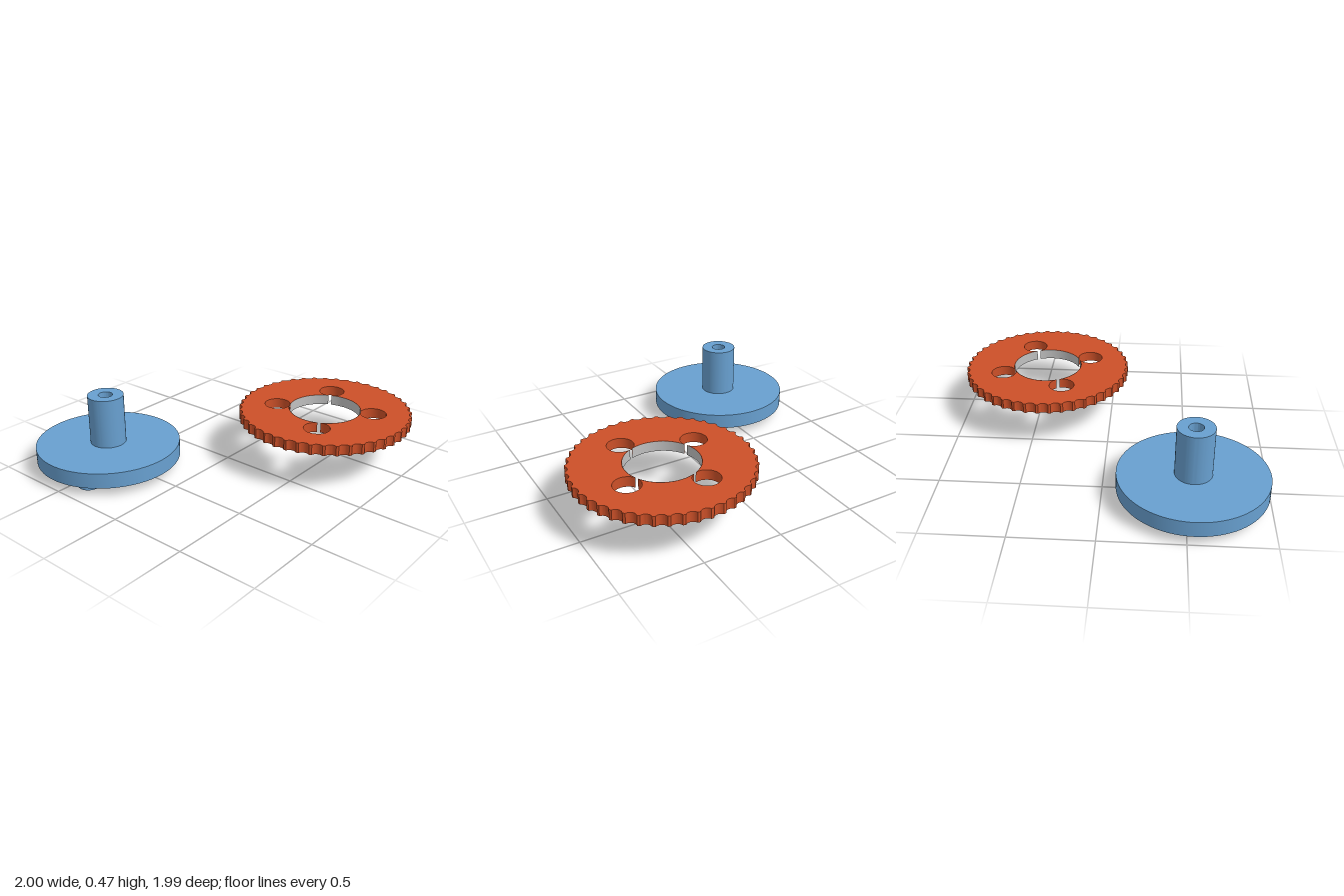
import * as THREE from 'three';
import { toCreasedNormals } from 'three/addons/utils/BufferGeometryUtils.js';

const BOLT = 0.311;        // radius of the bolt circle
const START = 0.422;       // angle of the first bolt, measured from +z towards +x
const QUARTER = Math.PI / 2;

const material = (name, color, extra = {}) =>
  Object.assign(new THREE.MeshStandardMaterial({ color, ...extra }), { name });

function mesh(name, geometry, mat, parent) {
  const m = new THREE.Mesh(geometry, mat);
  m.name = name;
  parent.add(m);
  return m;
}

// Shape point at an angle, around (cx, cy); shape y becomes -z once laid flat
const polar = (r, a, cx = 0, cy = 0) =>
  new THREE.Vector2(cx + r * Math.sin(a), cy - r * Math.cos(a));

// Scalloped rim: narrow teeth separated by rounded valleys
function rimShape(radius, teeth, depth) {
  const steps = 10, points = [];
  for (let i = 0; i < teeth * steps; i++) {
    const t = (i % steps) / steps;               // 0 = middle of a tooth
    const v = (t - 0.5) / 0.36;                  // -1..1 across the valley
    const cut = Math.abs(v) < 1 ? depth * Math.sqrt(1 - v * v) : 0;
    points.push(polar(radius - cut, (i / (teeth * steps)) * Math.PI * 2));
  }
  return new THREE.Shape(points);
}

// Central bore joined to four bolt holes by narrow slits
function boreOutline(bore, hole, a) {
  const b = Math.asin((bore * Math.sin(a)) / hole);
  const points = [];
  for (let k = 0; k < 4; k++) {
    const from = START + k * QUARTER + a, to = START + (k + 1) * QUARTER - a;
    for (let i = 0; i < 24; i++) points.push(polar(bore, from + ((to - from) * i) / 24));
    const dir = START + (k + 1) * QUARTER;
    const c = polar(BOLT, dir);
    for (let i = 0; i < 40; i++) {
      points.push(polar(hole, dir + (Math.PI - b) * ((2 * i) / 40 - 1), c.x, c.y));
    }
  }
  return new THREE.Path(points);
}

export function createModel() {
  const blue = material('blue', 0x68a0d0);
  const orange = material('orange', 0xcc5028);
  const grey = material('grey', 0xc0c0c0, { side: THREE.DoubleSide });
  const model = new THREE.Group();
  model.name = 'gearAndHub';

  // Hub: flange and shaft turned as one piece with a through hole
  const hub = new THREE.Group();
  hub.name = 'hub';
  hub.position.set(-0.545, 0, 0.54);
  model.add(hub);
  const profile = [
    [0.045, 0.06], [0.455, 0.06], [0.455, 0.158], [0.113, 0.158],
    [0.113, 0.475], [0.045, 0.475], [0.045, 0.06],
  ].map(([x, y]) => new THREE.Vector2(x, y));
  mesh('flangeAndShaft', toCreasedNormals(new THREE.LatheGeometry(profile, 96), 0.5), blue, hub);

  // Pegs under the flange
  for (let k = 0; k < 4; k++) {
    const a = START + k * QUARTER;
    mesh('peg', new THREE.CylinderGeometry(0.07, 0.07, 0.062, 40), blue, hub)
      .position.set(BOLT * Math.sin(a), 0.031, BOLT * Math.cos(a));
  }

  // Toothed ring
  const ring = new THREE.Group();
  ring.name = 'gear';
  ring.position.set(0.447, 0.262, -0.442);
  model.add(ring);
  const bore = 0.23, hole = 0.0825, slit = 0.045, height = 0.065;
  const shape = rimShape(0.552, 44, 0.018);
  shape.holes.push(boreOutline(bore, hole, slit));
  const geometry = new THREE.ExtrudeGeometry(shape, { depth: height, bevelEnabled: false });
  geometry.rotateX(-Math.PI / 2);
  mesh('toothedRing', toCreasedNormals(geometry, 0.4), orange, ring);

  // Grey lining of the bore, interrupted at the slits
  for (let k = 0; k < 4; k++) {
    const lining = new THREE.CylinderGeometry(bore - 0.002, bore - 0.002, height, 32, 1, true,
      START + k * QUARTER + slit, QUARTER - 2 * slit);
    mesh('boreLining', lining, grey, ring).position.y = height / 2;
  }
  return model;
}
